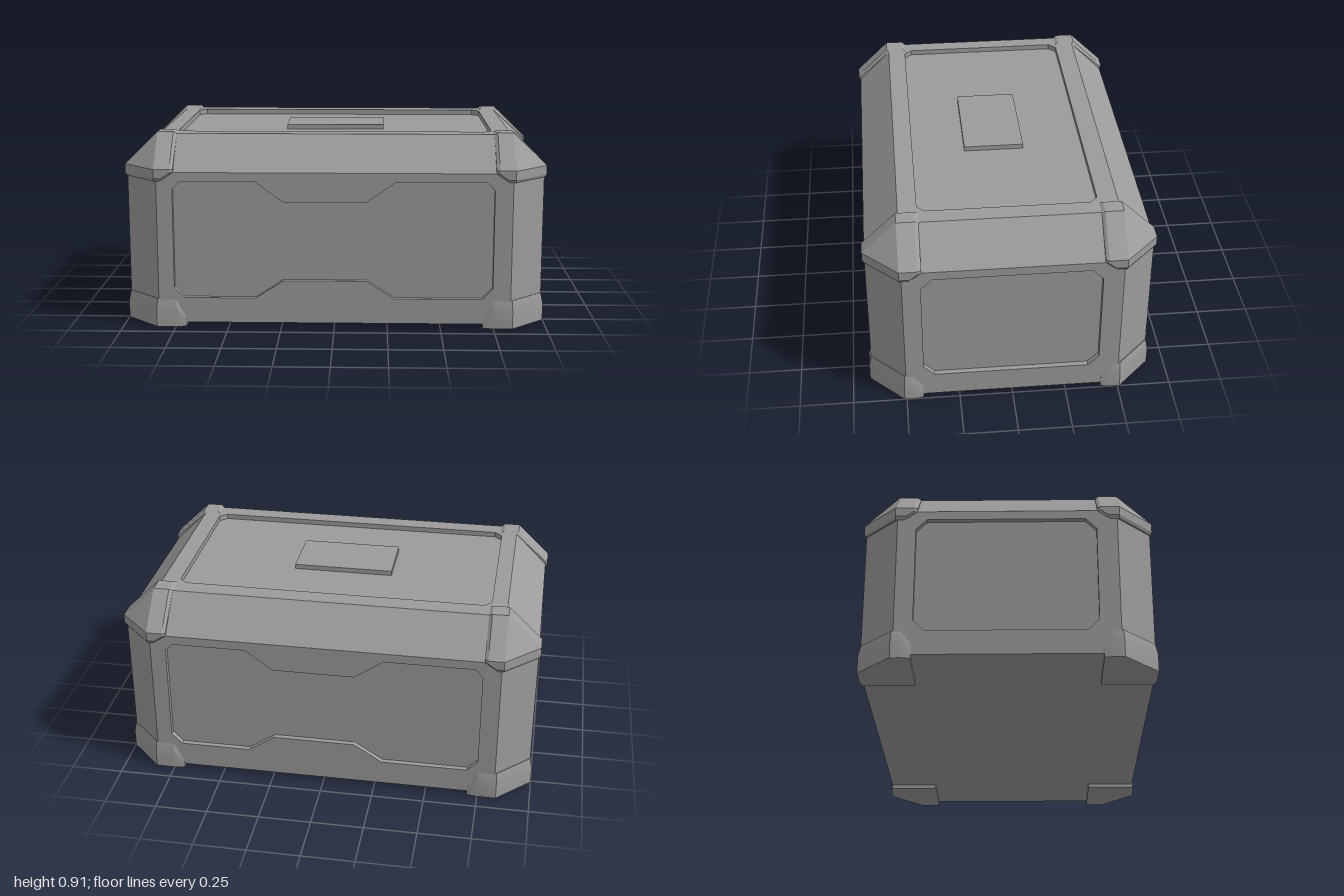
import * as THREE from 'three';
import { toCreasedNormals } from 'three/addons/utils/BufferGeometryUtils.js';

const material = new THREE.MeshStandardMaterial({ color: 0x9b9b9b });
const X = 0.99, Z = 0.66, CUT = 0.16, BASE = 0.02, EAVE = 0.74, TOP = 0.9, DEPTH = 0.025;

function addMesh(parent, geometry, name) {
  const mesh = new THREE.Mesh(geometry, material);
  mesh.name = name;
  parent.add(mesh);
  return mesh;
}

// Skin through loops of [x, y, z]; skip(band, side) leaves openings.
function loft(loops, { sx = 1, sz = 1, skip = () => false, capTop = true } = {}) {
  const out = [];
  const tri = (a, b, c) => {
    const v = (sx * sz < 0 ? [a, c, b] : [a, b, c]).map(p => new THREE.Vector3(p[0] * sx, p[1], p[2] * sz));
    if (new THREE.Triangle(...v).getArea() > 1e-8) v.forEach(p => out.push(p.x, p.y, p.z));
  };
  const n = loops[0].length, last = loops[loops.length - 1];
  for (let k = 0; k < loops.length - 1; k++) {
    for (let i = 0; i < n; i++) {
      if (skip(k, i)) continue;
      const a = loops[k], b = loops[k + 1], j = (i + 1) % n;
      tri(a[i], b[i], b[j]);
      tri(a[i], b[j], a[j]);
    }
  }
  for (let i = 1; i < n - 1; i++) {
    tri(loops[0][0], loops[0][i], loops[0][i + 1]);
    if (capTop) tri(last[0], last[i + 1], last[i]);
  }
  const g = new THREE.BufferGeometry();
  g.setAttribute('position', new THREE.Float32BufferAttribute(out, 3));
  return toCreasedNormals(g, 0.35);
}

// Eight-sided plan with cut corners.
const octagon = (x, z, c, y) => [
  [x, -z + c], [x, z - c], [x - c, z], [-x + c, z],
  [-x, z - c], [-x, -z + c], [-x + c, -z], [x - c, -z]
].map(p => [p[0], y, p[1]]);

const toShape = pts => new THREE.Shape(pts.map(p => new THREE.Vector2(p[0], p[1])));
const rect = (x, y0, y1) => [[-x, y0], [x, y0], [x, y1], [-x, y1]];
const cutRect = (x0, x1, y0, y1, c) => [
  [x0 + c, y0], [x1 - c, y0], [x1, y0 + c], [x1, y1 - c],
  [x1 - c, y1], [x0 + c, y1], [x0, y1 - c], [x0, y0 + c]
];

// Flat wall with a sunken panel; its outer surface lies at local z = 0.
function recessedPanel(name, outline, hole) {
  const group = new THREE.Group();
  group.name = name;
  const shape = toShape(outline);
  shape.holes.push(toShape(hole));
  const frame = new THREE.ExtrudeGeometry(shape, { depth: DEPTH, bevelEnabled: false });
  addMesh(group, frame, name + 'Frame').position.z = -DEPTH;
  addMesh(group, new THREE.ShapeGeometry(toShape(hole)), name + 'Floor').position.z = -DEPTH;
  return group;
}

// Corner guard in the +x +z quadrant, with a bevelled inner rim.
function capLoops() {
  const plan = (y, inX, inZ, grow) => [
    [inX, inZ], [0.98 + grow, inZ], [0.99 + grow, inZ + 0.015], [0.99 + grow, 0.51],
    [0.84, 0.66 + grow], [inX + 0.015, 0.66 + grow], [inX, 0.65 + grow]
  ].map(p => [p[0], y, p[1]]);
  const rim = [[0.75, 0.9, 0.41], [0.83, 0.9, 0.41], [0.84, 0.91, 0.425], [0.84, 0.91, 0.51],
    [0.84, 0.91, 0.51], [0.765, 0.91, 0.51], [0.75, 0.9, 0.5]];
  const crown = [[0.765, 0.425], [0.84, 0.425], [0.84, 0.425], [0.84, 0.51],
    [0.84, 0.51], [0.765, 0.51], [0.765, 0.51]].map(p => [p[0], 0.91, p[1]]);
  return [
    plan(0.698, 0.8, 0.455, 0), plan(0.712, 0.79, 0.445, 0.01), plan(0.74, 0.75, 0.41, 0.01),
    plan(0.755, 0.75, 0.41, 0.01), rim, crown
  ];
}

// Foot in the +x +z quadrant, ramping softly out of the walls.
function footLoops() {
  const plan = [[0.7, 0.42], [0.992, 0.42], [1, 0.46], [1, 0.51], [0.84, 0.67], [0.745, 0.67], [0.7, 0.662]];
  const midY = [0.03, 0.06, 0.085, 0.085, 0.085, 0.085, 0.03];
  return [
    plan.map(p => [p[0], 0, p[1]]),
    plan.map((p, i) => [p[0], midY[i], p[1]]),
    [[0.72, 0.08, 0.44], [0.989, 0.08, 0.425], [0.989, 0.135, 0.465], [0.989, 0.135, 0.507],
      [0.837, 0.135, 0.659], [0.75, 0.135, 0.659], [0.702, 0.05, 0.659]]
  ];
}

export function createModel() {
  const model = new THREE.Group();
  model.name = 'crate';

  // Shell: underside, corner posts and sloped lid edges
  const crown = octagon(X, Z, CUT, TOP).map(p => [Math.sign(p[0]) * (X - CUT), TOP, Math.sign(p[2]) * (Z - CUT)]);
  addMesh(model, loft(
    [octagon(X, Z, CUT, BASE), octagon(X, Z, CUT, EAVE), crown],
    { skip: (band, side) => band === 0 && side % 2 === 0, capTop: false }
  ), 'shell');

  // Front and back walls with notched panels
  const notched = [
    [-0.705, 0.14], [-0.37, 0.14], [-0.24, 0.225], [0.15, 0.225], [0.285, 0.14], [0.695, 0.14],
    [0.745, 0.19], [0.745, 0.66], [0.71, 0.697], [0.285, 0.697], [0.15, 0.602], [-0.24, 0.602],
    [-0.37, 0.697], [-0.72, 0.697], [-0.755, 0.66], [-0.755, 0.19]
  ];
  for (const s of [1, -1]) {
    const wall = recessedPanel(s > 0 ? 'frontWall' : 'backWall', rect(X - CUT, BASE, EAVE), notched);
    wall.position.z = s * Z;
    wall.rotation.y = s > 0 ? 0 : Math.PI;
    model.add(wall);

    // End walls
    const end = recessedPanel(s > 0 ? 'leftWall' : 'rightWall',
      rect(Z - CUT, BASE, EAVE), cutRect(-0.415, 0.405, 0.137, 0.698, 0.05));
    end.position.x = s * X;
    end.rotation.y = s * Math.PI / 2;
    model.add(end);
  }

  // Lid with a sunken field and raised plate
  const lid = recessedPanel('lid', rect(X - CUT, -Z + CUT, Z - CUT), cutRect(-0.755, 0.745, -0.413, 0.407, 0.035));
  lid.position.y = TOP;
  lid.rotation.x = -Math.PI / 2;
  model.add(lid);
  addMesh(model, new THREE.BoxGeometry(0.48, 0.03, 0.285), 'lidPlate').position.set(-0.008, TOP - 0.017, 0.02);

  // Corner guards and feet
  for (const sx of [1, -1]) {
    for (const sz of [1, -1]) {
      const place = (sz > 0 ? 'front' : 'back') + (sx > 0 ? 'Left' : 'Right');
      addMesh(model, loft(capLoops(), { sx, sz }), place + 'CornerGuard');
      addMesh(model, loft(footLoops(), { sx, sz }), place + 'Foot');
    }
  }
  return model;
}
